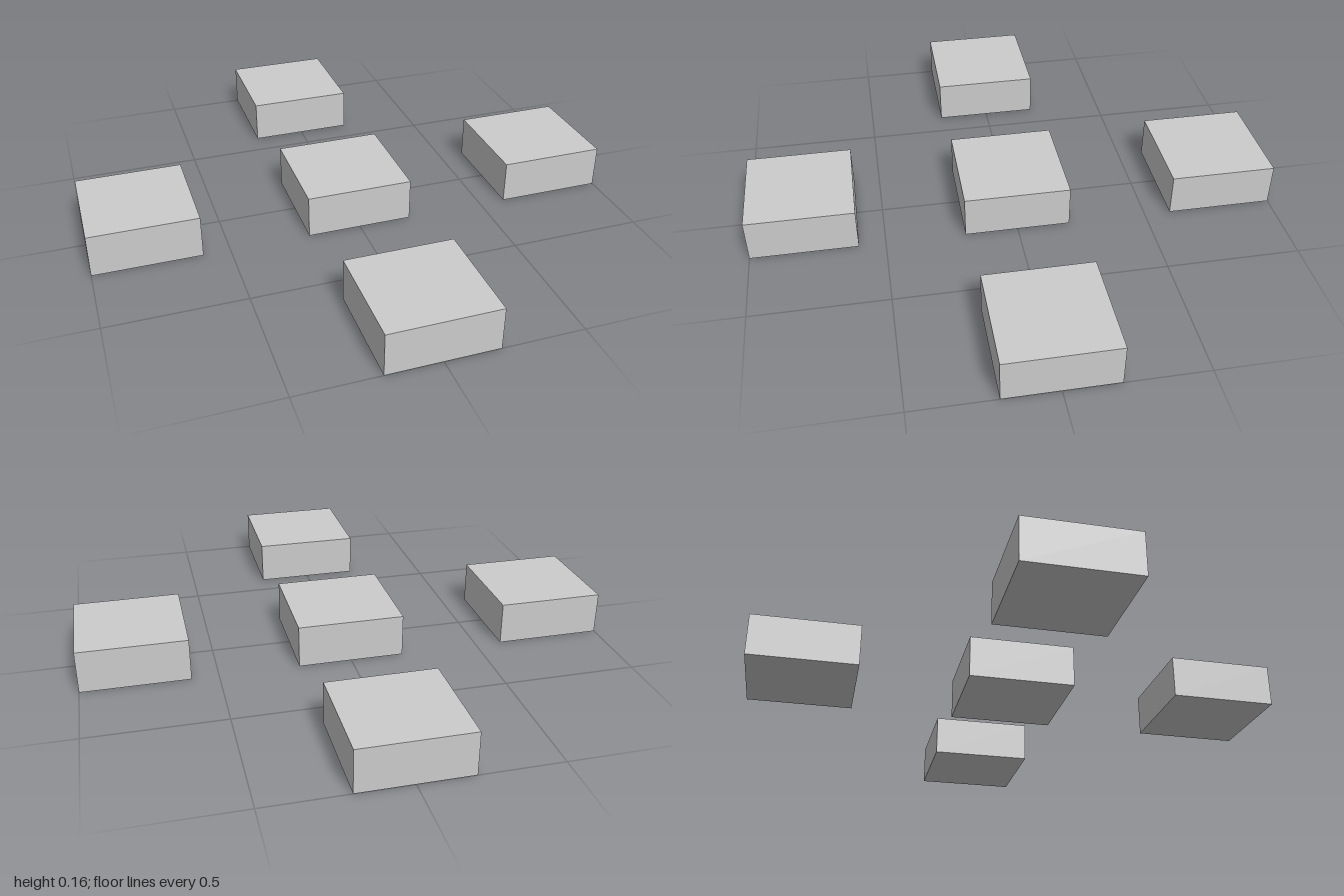
import * as THREE from 'three';

const SIZE = 0.4;
const HEIGHT = 0.16;
const SPACING = 0.8;

// Five identical square blocks laid out as a plus
const LAYOUT = {
  centreBlock: [0, 0],
  leftBlock: [1, 0],
  rightBlock: [-1, 0],
  frontBlock: [0, 1],
  backBlock: [0, -1],
};

export function createModel() {
  const model = new THREE.Group();
  model.name = 'blocks';
  const geometry = new THREE.BoxGeometry(SIZE, HEIGHT, SIZE);
  const material = new THREE.MeshStandardMaterial({ color: 0xcccccc });

  for (const [name, [x, z]] of Object.entries(LAYOUT)) {
    const block = new THREE.Mesh(geometry, material);
    block.name = name;
    block.position.set(x * SPACING, HEIGHT / 2, z * SPACING);
    model.add(block);
  }
  return model;
}
